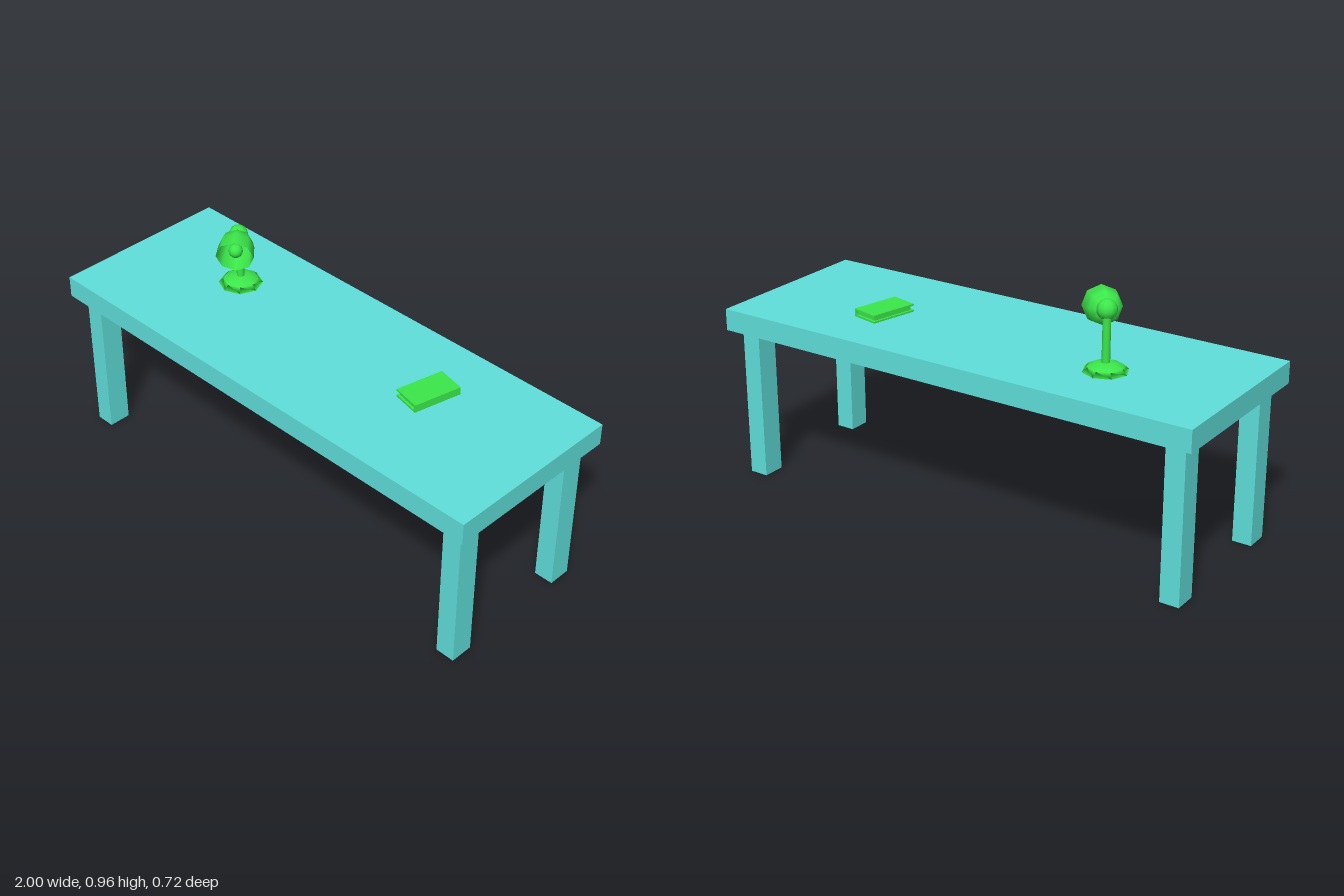
import * as THREE from 'three';

const tableMat = new THREE.MeshStandardMaterial({ color: 0x5fe0dc });
const greenMat = new THREE.MeshStandardMaterial({ color: 0x3ce84a });
const shadeMat = new THREE.MeshStandardMaterial({ color: 0x3ce84a, side: THREE.DoubleSide });

function add(parent, name, geometry, material, x = 0, y = 0, z = 0) {
  const mesh = new THREE.Mesh(geometry, material);
  mesh.name = name;
  mesh.position.set(x, y, z);
  parent.add(mesh);
  return mesh;
}

function group(parent, name, x = 0, y = 0, z = 0) {
  const g = new THREE.Group();
  g.name = name;
  g.position.set(x, y, z);
  parent.add(g);
  return g;
}

const lathe = (points, sides) =>
  new THREE.LatheGeometry(points.map(([r, h]) => new THREE.Vector2(r, h)), sides);

const TOP = 0.685; // height of the table surface

function buildTable(parent) {
  const table = group(parent, 'table');
  add(table, 'tableTop', new THREE.BoxGeometry(2, 0.085, 0.72), tableMat, 0, TOP - 0.0425, 0);
  for (const sx of [-1, 1]) for (const sz of [-1, 1]) {
    add(table, 'tableLeg', new THREE.BoxGeometry(0.076, 0.6, 0.09), tableMat, sx * 0.92, 0.3, sz * 0.27);
  }
}

function buildLamp(parent) {
  const lamp = group(parent, 'deskLamp', -0.512, TOP, -0.083);
  // Domed eight-sided foot and round stem
  add(lamp, 'lampBase', lathe([[0, 0], [0.085, 0], [0.066, 0.018], [0.036, 0.03], [0, 0.034]], 8), greenMat);
  add(lamp, 'lampStem', new THREE.CylinderGeometry(0.015, 0.015, 0.2, 12), greenMat, 0, 0.125, 0);

  // Head turned towards the front left and tipped slightly down; its local +z is the beam
  const head = group(lamp, 'lampHead', 0.007, 0.221, 0.011);
  head.rotation.set(0.2, 0.7, 0, 'YXZ');
  add(head, 'lampKnuckle', new THREE.SphereGeometry(0.038, 10, 7), greenMat);
  const shade = add(head, 'lampShade',
    lathe([[0, 0.005], [0.036, 0.012], [0.058, 0.036], [0.067, 0.065], [0.071, 0.12]], 8), shadeMat);
  shade.rotation.x = Math.PI / 2;
  add(head, 'lampBulb', new THREE.SphereGeometry(0.027, 12, 8), greenMat, 0, 0, 0.087);
}

function buildBook(parent) {
  const book = group(parent, 'book', 0.469, TOP, -0.062);
  book.rotation.y = -0.22;
  const w = 0.112, h = 0.031, d = 0.194, t = 0.007;
  for (const y of [t / 2, h - t / 2]) {
    add(book, 'bookCover', new THREE.BoxGeometry(w, t, d), greenMat, 0, y, 0);
  }
  add(book, 'bookSpine', new THREE.BoxGeometry(t, h - 2 * t, d), greenMat, w / 2 - t / 2, h / 2, 0);
  add(book, 'bookPages', new THREE.BoxGeometry(w - 0.016, h - 2 * t, d - 0.02), greenMat, 0.001, h / 2, 0);
}

export function createModel() {
  const model = new THREE.Group();
  model.name = 'deskWithLampAndBook';
  buildTable(model);
  buildLamp(model);
  buildBook(model);
  return model;
}
